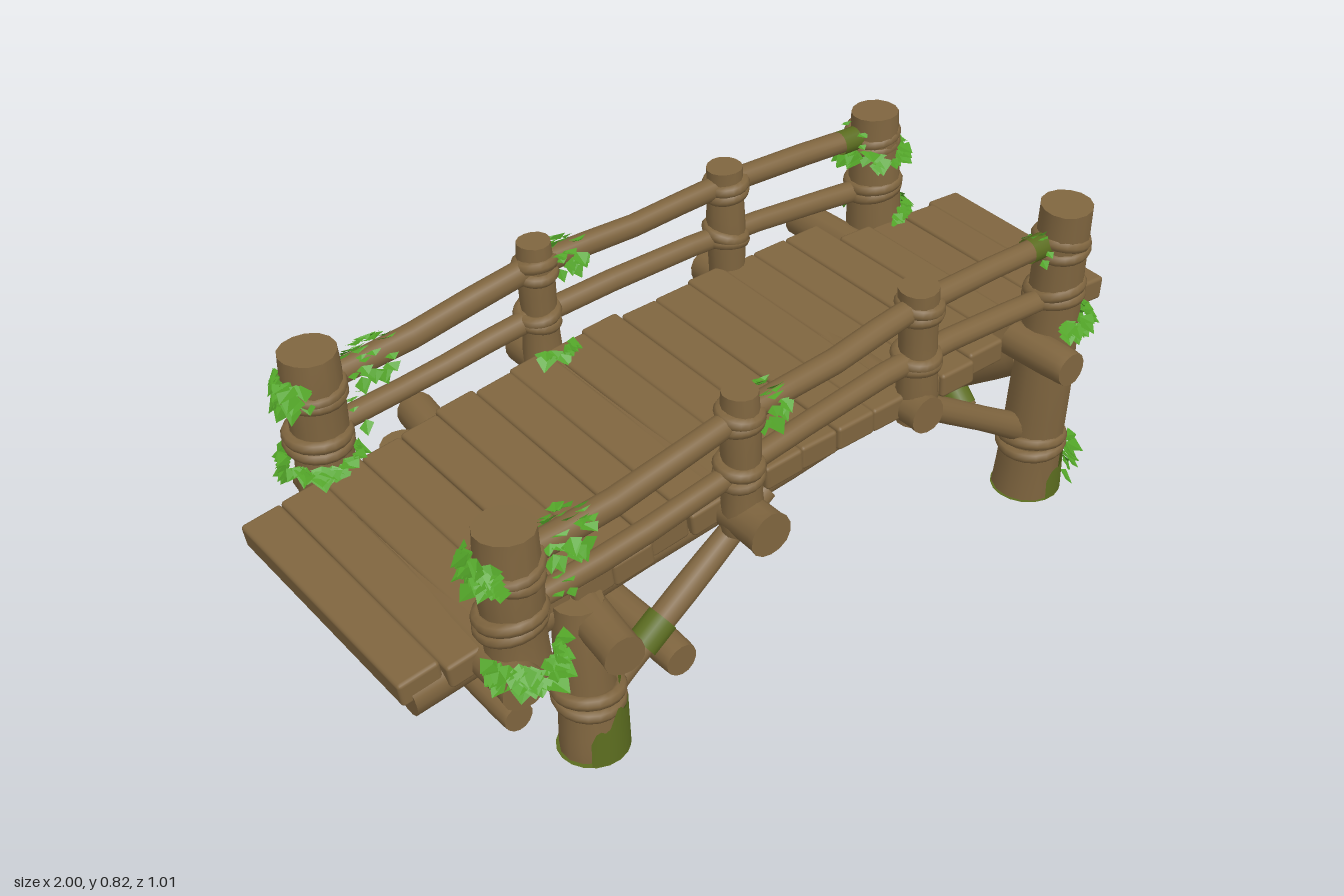
import * as THREE from 'three';
import { toCreasedNormals } from 'three/addons/utils/BufferGeometryUtils.js';
import { RoundedBoxGeometry } from 'three/addons/geometries/RoundedBoxGeometry.js';

const V = (x, y, z) => new THREE.Vector3(x, y, z);

export function createModel() {
  const model = new THREE.Group();
  model.name = 'logBridge';
  const mat = (name, color, side = THREE.FrontSide) => {
    const m = new THREE.MeshStandardMaterial({ color, side });
    m.name = name;
    return m;
  };
  const wood = mat('brown wood', 0x7f653f);
  const darkMoss = mat('dark moss', 0x5b6c1f, THREE.DoubleSide);
  const leafMoss = mat('leafy moss', 0x52a428, THREE.DoubleSide);

  let seed = 7;
  const rand = (a = 0, b = 1) => {
    seed = (seed * 16807) % 2147483647;
    return a + (b - a) * (seed / 2147483647);
  };
  const add = (name, geometry, material) => {
    const mesh = new THREE.Mesh(geometry, material);
    mesh.name = name;
    model.add(mesh);
    return mesh;
  };

  // A slightly lumpy log that follows a smooth path
  function log(name, points, r0, r1 = r0, lump = 0.04) {
    const curve = new THREE.CatmullRomCurve3(points);
    const geo = new THREE.CylinderGeometry(r1, r0, 1, 14, 10);
    const p = geo.attributes.position, v = V(0, 0, 0), up = V(0, 1, 0);
    const q = new THREE.Quaternion(), phase = rand(0, 6);
    for (let i = 0; i < p.count; i++) {
      v.fromBufferAttribute(p, i);
      const t = THREE.MathUtils.clamp(v.y + 0.5, 0, 1), a = Math.atan2(v.z, v.x);
      const k = 1 + lump * (Math.sin(t * 11 + phase) + Math.sin(a * 3 + phase + t * 4) * 0.6);
      q.setFromUnitVectors(up, curve.getTangent(t).normalize());
      v.set(v.x * k, 0, v.z * k).applyQuaternion(q).add(curve.getPoint(t));
      p.setXYZ(i, v.x, v.y, v.z);
    }
    return add(name, toCreasedNormals(geo, 0.9), wood);
  }

  // Two tilted, soft loops of binding round a post
  function binding(x, y, z, r) {
    for (let i = 0; i < 2; i++) {
      const ring = add('binding', new THREE.TorusGeometry(r - 0.002, 0.016, 8, 20), wood);
      ring.position.set(x, y + i * 0.022, z);
      ring.rotation.set(Math.PI / 2 + rand(-0.2, 0.2), rand(-0.2, 0.2), 0);
    }
  }

  // One mesh of pointed leaves; place() gives each leaf's base, outward and sideways directions
  function leafMesh(count, size, place) {
    const pos = [];
    for (let i = 0; i < count; i++) {
      const { base, out, side } = place(), s = size * rand(0.7, 1.15);
      const tip = base.clone().addScaledVector(out, s * rand(0.3, 0.8)).addScaledVector(side, s * rand(-0.5, 0.5));
      tip.y -= s * rand(0.2, 0.75);
      const mid = base.clone().lerp(tip, 0.45);
      mid.y += s * 0.12;
      const l = mid.clone().addScaledVector(side, s * 0.5), m = mid.clone().addScaledVector(side, -s * 0.5);
      for (const c of [base, tip, l, base, m, tip]) pos.push(c.x, c.y, c.z);
    }
    const geo = new THREE.BufferGeometry();
    geo.setAttribute('position', new THREE.Float32BufferAttribute(pos, 3));
    geo.computeVertexNormals();
    add('mossLeaves', geo, leafMoss);
  }

  // Leaves round an upright post; angle 0 faces +x, PI/2 faces +z
  function postMoss(x, y, z, r, angle, spread, height, count, size = 0.05) {
    leafMesh(count, size, () => {
      const a = angle + rand(-spread, spread), out = V(Math.cos(a), 0, Math.sin(a));
      const base = V(x, y + rand(-height, height) + size * 0.2, z).addScaledVector(out, r + rand(-0.004, 0.008));
      return { base, out, side: V(-out.z, 0, out.x) };
    });
  }

  // Leaves wrapped round a rail that runs along x
  function railMoss(x, y, z, r, half, count, size = 0.042) {
    leafMesh(count, size, () => {
      const a = rand(-2.5, 2.5), out = V(0, Math.cos(a), Math.sin(a)), dx = rand(-half, half);
      const base = V(x + dx, y + dx * 0.15, z).addScaledVector(out, r + rand(0.001, 0.008));
      return { base, out, side: V(1, 0, 0) };
    });
  }

  // Thin moss skin with a wavy top edge round the foot of a post, and under it
  function mossFoot(x, z, bottom, r0, r1, h, angle, spread) {
    const geo = new THREE.CylinderGeometry(r1, r0, h, 18, 4, true, Math.PI / 2 - angle - spread, spread * 2);
    const p = geo.attributes.position, uv = geo.attributes.uv;
    for (let i = 0; i < p.count; i++) {
      const u = uv.getX(i), edge = 0.4 + 0.5 * Math.sin(Math.PI * u) + 0.1 * Math.sin(u * 23);
      p.setY(i, uv.getY(i) * h * edge);
    }
    geo.computeVertexNormals();
    add('mossPatch', geo, darkMoss).position.set(x, bottom, z);
    const sole = add('mossSole', new THREE.CircleGeometry(r0, 18), darkMoss);
    sole.position.set(x, bottom - 0.002, z);
    sole.rotation.x = Math.PI / 2;
  }

  // Thin moss sleeve round part of a log lying between two points
  function mossSleeve(a, b, r, start = 0, arc = Math.PI * 2) {
    const dir = b.clone().sub(a);
    const patch = add('mossPatch', new THREE.CylinderGeometry(r, r, dir.length(), 14, 1, true, start, arc), darkMoss);
    patch.position.copy(a).lerp(b, 0.5);
    patch.quaternion.setFromUnitVectors(V(0, 1, 0), dir.normalize());
  }

  // Height of the deck surface along the bridge
  const deckPoints = [[-1, 0.37], [-0.8, 0.4], [-0.6, 0.425], [-0.2, 0.48], [0, 0.497], [0.3, 0.51], [0.6, 0.52], [0.8, 0.515], [1, 0.505]];
  const deckY = (x) => {
    let i = 0;
    while (i < deckPoints.length - 2 && x > deckPoints[i + 1][0]) i++;
    const [x0, y0] = deckPoints[i], [x1, y1] = deckPoints[i + 1];
    return y0 + (y1 - y0) * (x - x0) / (x1 - x0);
  };

  // Close-set deck planks
  const planks = 20, step = 2 / planks;
  for (let i = 0; i < planks; i++) {
    const x = -1 + step * (i + 0.5), end = i === 0 || i === planks - 1;
    const half = x > 0.63 ? 0.245 : 0.33;
    const width = end ? step - 0.002 : step + rand(-0.003, 0.003);
    const plank = add('plank', new RoundedBoxGeometry(width, 0.06, half * 2 + rand(-0.02, 0.025), 2, 0.009), wood);
    plank.position.set(x, deckY(x) - 0.03 + rand(-0.003, 0.003), rand(-0.01, 0.01));
    plank.rotation.set(rand(-0.012, 0.012), end ? 0 : rand(-0.012, 0.012),
      Math.atan2(deckY(x + 0.04) - deckY(x - 0.04), 0.08));
  }

  // Parts repeated on the front (+z) and back (-z) sides
  for (const s of [1, -1]) {
    const front = s > 0;
    const zA = front ? 0.365 : 0.38, zB = front ? 0.36 : 0.37, zC = front ? 0.325 : 0.34, zD = 0.315;
    const out = s * Math.PI / 2;

    // Stringers under the deck
    log('stringer', [V(-0.97, 0.31, s * 0.28), V(-0.5, 0.375, s * 0.28), V(0, 0.425, s * 0.27),
      V(0.5, 0.45, s * 0.22), V(0.97, 0.435, s * 0.17)], 0.045, 0.04);

    // Tall end posts, short end posts, middle posts and legs
    log('tallPost', [V(0.77, front ? 0.015 : 0.02, s * 0.275), V(0.765, 0.4, s * 0.3), V(0.755, front ? 0.82 : 0.79, s * (front ? 0.325 : 0.31))], 0.08, 0.058, 0.025);
    log('shortPost', [V(-0.76, 0.33, s * zA), V(-0.77, 0.69, s * zA)], 0.068, 0.066, 0.03);
    log('middlePost', [V(-0.19, 0.4, s * zB), V(-0.2, 0.75, s * zB)], 0.048, 0.04);
    log('middlePost', [V(0.33, 0.43, s * zC), V(0.315, 0.775, s * zC)], 0.046, 0.044);
    log('leg', [V(-0.58, 0.008, s * 0.35), V(-0.59, 0.39, s * 0.33)], 0.075, 0.055, 0.025);

    // Hand rails
    log('upperRail', [V(-0.79, 0.6, s * zA), V(-0.52, 0.625, s * zA), V(-0.2, 0.69, s * zB), V(0.06, 0.705, s * 0.35), V(0.32, 0.73, s * zC), V(0.77, 0.73, s * zD)], 0.03, 0.026);
    log('lowerRail', [V(-0.79, 0.475, s * zA), V(-0.5, 0.505, s * zA), V(-0.2, 0.555, s * zB), V(0.32, 0.595, s * zC), V(0.77, 0.58, s * zD)], 0.026, 0.026);

    // Diagonal side braces
    log('sideBrace', [V(-0.54, 0.1, s * 0.33), V(-0.08, 0.41, s * 0.3)], 0.034, 0.028);
    log('sideBrace', [V(0.74, 0.19, s * 0.28), V(0.33, 0.45, s * 0.29)], 0.034, 0.028);

    // Bindings
    binding(0.765, 0.15, s * 0.285, 0.072);
    binding(0.76, 0.58, s * 0.31, 0.06);
    binding(0.757, 0.71, s * 0.317, 0.056);
    binding(-0.77, 0.46, s * zA, 0.066);
    binding(-0.77, 0.585, s * zA, 0.064);
    binding(-0.2, 0.545, s * zB, 0.043);
    binding(-0.2, 0.675, s * zB, 0.041);
    binding(0.32, 0.58, s * zC, 0.045);
    binding(0.32, 0.71, s * zC, 0.043);
    binding(-0.583, 0.14, s * 0.345, 0.068);

    // Moss skins on feet, rails and braces
    mossFoot(0.77, s * 0.277, 0.014, 0.085, 0.083, 0.13, 0.25 * s, 1.5);
    mossFoot(-0.58, s * 0.35, 0.006, 0.08, 0.076, 0.15, out - s * 0.6, 1.25);
    mossSleeve(V(0.65, 0.732, s * 0.3165), V(0.71, 0.732, s * 0.3155), 0.029);
    mossSleeve(V(-0.43, 0.174, s * 0.323), V(-0.37, 0.2145, s * 0.319), 0.037);
    mossSleeve(V(-0.585, 0.18, s * 0.342), V(-0.587, 0.235, s * 0.339), 0.071, front ? 0.6 : 1.4, 1.1);

    // Leafy moss on posts
    postMoss(0.77, 0.09, s * 0.28, 0.083, 0.05 * s, 0.85, 0.045, 60);
    postMoss(0.762, 0.52, s * 0.307, 0.07, 0.2 * s, 1.8, 0.014, 55);
    postMoss(-0.77, 0.61, s * zA, 0.066, Math.PI, 0.8, 0.03, 34);
    postMoss(-0.77, 0.39, s * 0.4, 0.062, out + s * 0.2, 1.3, 0.03, 65);

    // Leafy moss on rails
    railMoss(-0.64, 0.615, s * zA, 0.03, 0.05, 38);
    railMoss(-0.13, 0.697, s * (zB - 0.005), 0.028, 0.035, 30);
    railMoss(-0.67, 0.49, s * zA, 0.026, 0.025, 12, 0.035);
    railMoss(0.685, 0.732, s * 0.316, 0.028, 0.02, 9, 0.032);
  }
  // Moss found on one side only
  postMoss(0.757, 0.685, -0.315, 0.062, 0, Math.PI, 0.016, 62);
  postMoss(-0.77, 0.42, -0.38, 0.07, Math.PI / 2, 1.3, 0.008, 28);
  postMoss(-0.2, 0.495, -0.325, 0.04, Math.PI / 2, 1.1, 0.008, 14, 0.045);
  postMoss(-0.47, 0.315, -0.45, 0.035, -0.6, 1, 0.012, 8, 0.035);
  mossSleeve(V(-0.521, 0.347, -0.07), V(-0.508, 0.3465, -0.18), 0.049, 0.5, 1.3);

  // Cross logs whose ends stick out beneath the deck
  log('crossLog', [V(-0.59, 0.35, 0.49), V(-0.47, 0.345, -0.49)], 0.047, 0.044);
  log('crossLog', [V(-0.8, 0.355, 0.45), V(-0.78, 0.35, -0.42)], 0.052, 0.045);
  log('crossLog', [V(-0.19, 0.435, 0.455), V(-0.19, 0.43, -0.46)], 0.052, 0.045);
  log('crossLog', [V(0.31, 0.475, 0.385), V(0.33, 0.455, -0.43)], 0.045, 0.043);
  log('crossLog', [V(0.7, 0.46, 0.44), V(0.68, 0.44, -0.49)], 0.042, 0.047);

  // Low logs near the shorter legs
  log('lowLog', [V(-0.77, 0.2, 0.37), V(-0.77, 0.2, -0.36)], 0.034);
  log('lowLog', [V(-0.37, 0.14, 0.385), V(-0.37, 0.14, -0.385)], 0.04);
  log('legTie', [V(-0.58, 0.09, 0.35), V(-0.58, 0.09, -0.35)], 0.032);

  // Crossed braces between the tall posts
  log('endBrace', [V(0.74, 0.38, 0.26), V(0.75, 0.07, -0.13)], 0.033, 0.028);
  log('endBrace', [V(0.77, 0.38, -0.24), V(0.77, 0.1, 0.05)], 0.032, 0.036);
  mossSleeve(V(0.77, 0.2, -0.054), V(0.77, 0.105, 0.045), 0.038);
  return model;
}
